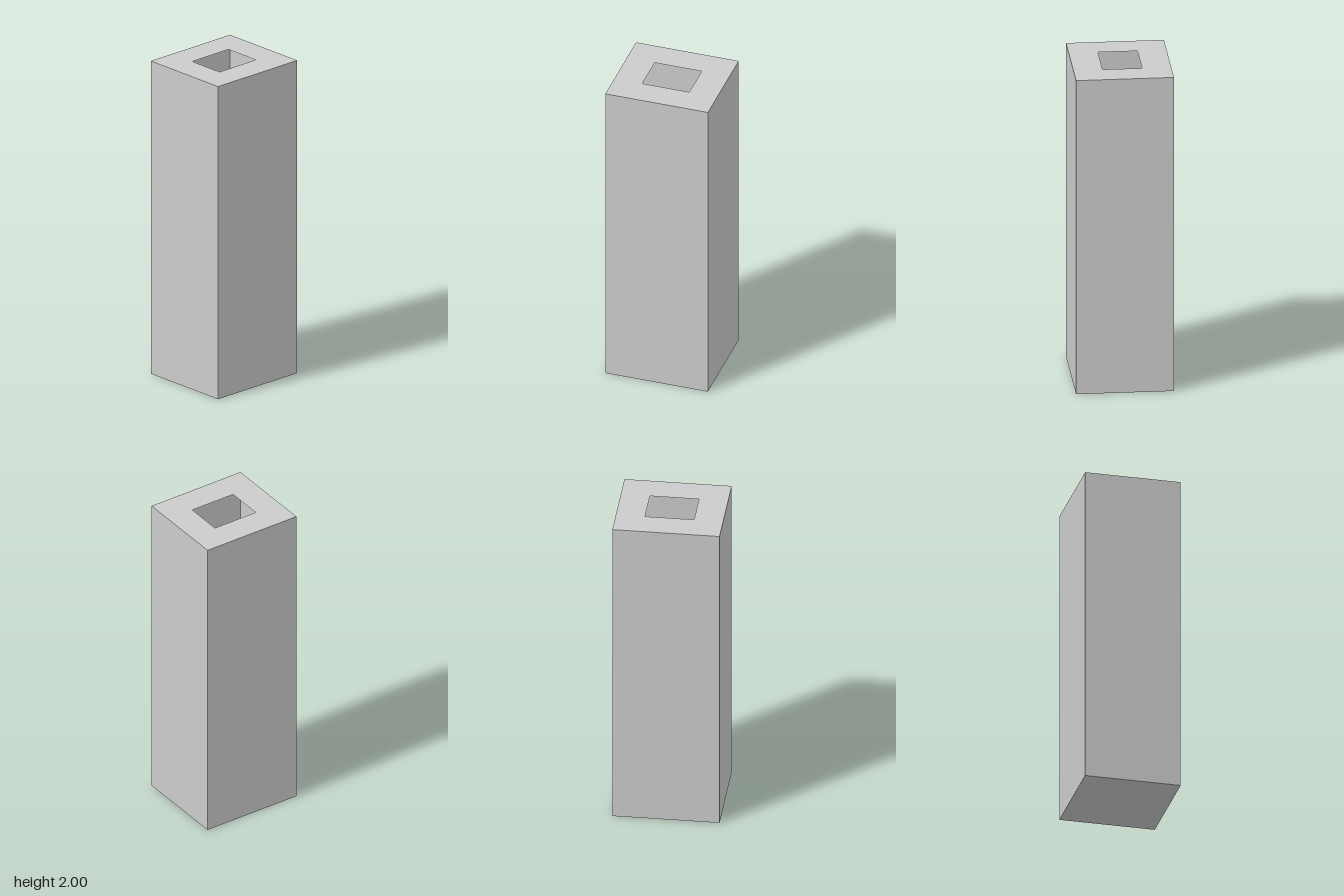
import * as THREE from 'three';

const W = 0.646, H = 2, D = 0.588; // outer size
const RIM = 0.175; // width of the top border around the opening

const material = new THREE.MeshStandardMaterial({ color: 0xcccccc, side: THREE.DoubleSide });

function addPart(group, name, geometry, position, rotation) {
  const mesh = new THREE.Mesh(geometry, material);
  mesh.name = name;
  mesh.position.set(...position);
  mesh.rotation.set(...rotation);
  group.add(mesh);
}

export function createModel() {
  const group = new THREE.Group();
  group.name = 'hollowPillar';

  // Thin side walls, in mirrored pairs
  for (const s of [1, -1]) {
    addPart(group, s > 0 ? 'frontWall' : 'backWall',
      new THREE.PlaneGeometry(W, H), [0, H / 2, s * D / 2], [0, s > 0 ? 0 : Math.PI, 0]);
    addPart(group, s > 0 ? 'leftWall' : 'rightWall',
      new THREE.PlaneGeometry(D, H), [s * W / 2, H / 2, 0], [0, s * Math.PI / 2, 0]);
  }

  // Closed floor
  addPart(group, 'floor', new THREE.PlaneGeometry(W, D), [0, 0, 0], [Math.PI / 2, 0, 0]);

  // Thin top sheet with a rectangular opening into the hollow inside
  const rectangle = (w, d) => [[-1, -1], [1, -1], [1, 1], [-1, 1]]
    .map(([x, y]) => new THREE.Vector2(x * w / 2, y * d / 2));
  const top = new THREE.Shape(rectangle(W, D));
  top.holes.push(new THREE.Path(rectangle(W - 2 * RIM, D - 2 * RIM).reverse()));
  addPart(group, 'topRim', new THREE.ShapeGeometry(top), [0, H, 0], [-Math.PI / 2, 0, 0]);

  return group;
}
